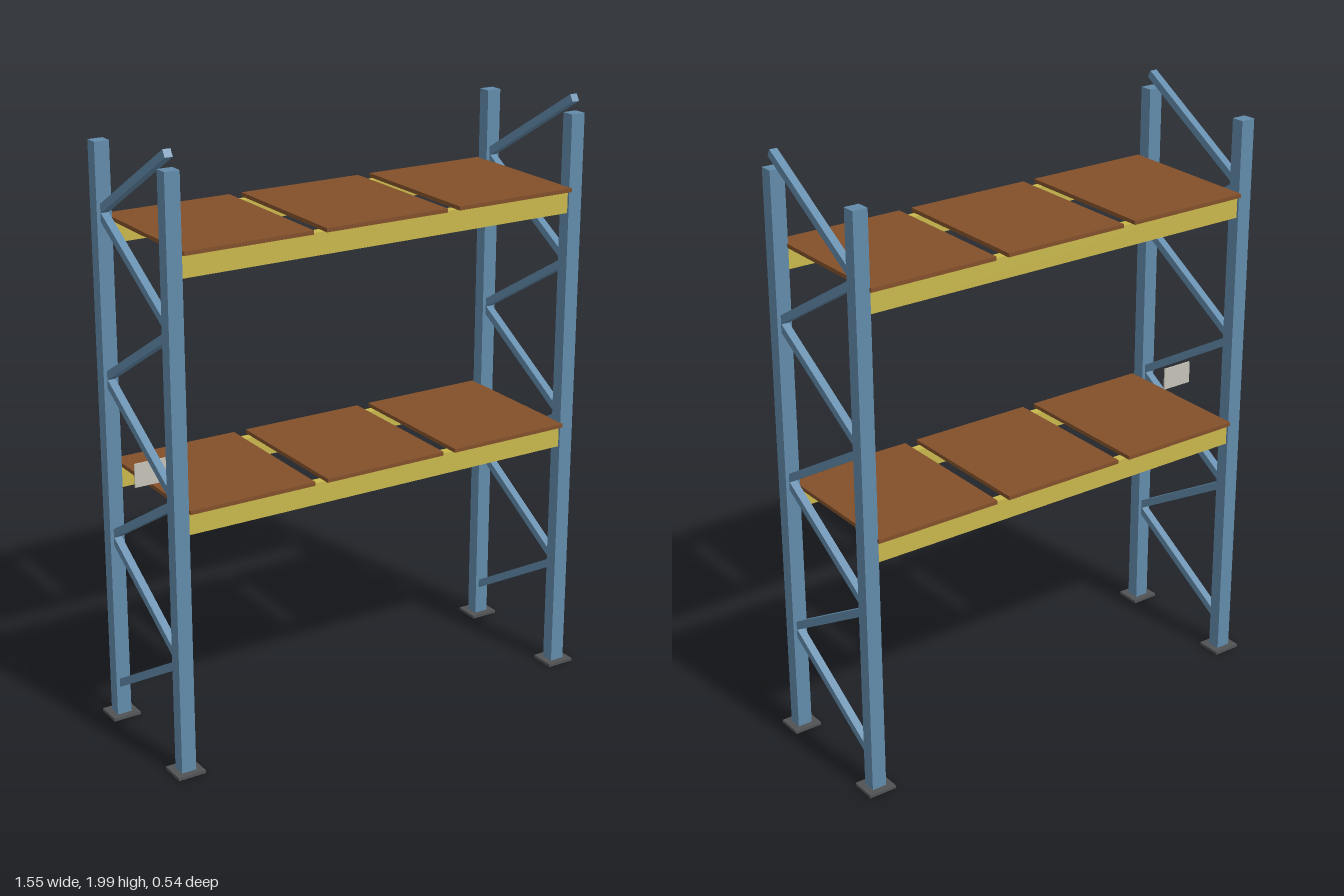
import * as THREE from 'three';

const material = (name, color) => {
  const m = new THREE.MeshStandardMaterial({ color });
  m.name = name;
  return m;
};

export function createModel() {
  const blue = material('steel blue', 0x628bab);
  const yellow = material('beam yellow', 0xc9b84c);
  const brown = material('deck brown', 0x83502b);
  const dark = material('foot grey', 0x505254);
  const pale = material('sign grey', 0xc6c2b8);

  const rack = new THREE.Group();
  rack.name = 'palletRack';

  const box = (parent, name, mat, size, pos) => {
    const mesh = new THREE.Mesh(new THREE.BoxGeometry(...size), mat);
    mesh.name = name;
    mesh.position.set(...pos);
    parent.add(mesh);
    return mesh;
  };

  // End frames: two posts on foot plates, joined by zigzag braces
  const postZ = 0.226;
  const braceBase = 0.111, braceStep = 0.2675;
  for (const [side, x] of [['right', -0.724], ['left', 0.727]]) {
    const frame = new THREE.Group();
    frame.name = side + 'Frame';
    frame.position.x = x;
    rack.add(frame);

    for (const z of [postZ, -postZ]) {
      box(frame, 'post', blue, [0.05, 1.928, 0.045], [0, 0.972, z]);
      box(frame, 'footPlate', dark, [0.096, 0.01, 0.088], [0, 0.005, z]);
    }

    const length = Math.hypot(2 * postZ, braceStep);
    const tilt = Math.atan2(braceStep, 2 * postZ);
    for (let i = 0; i < 7; i++) {
      const brace = box(frame, 'brace', blue, [0.026, 0.026, length],
        [0, braceBase + (i + 0.5) * braceStep, 0]);
      brace.rotation.x = i % 2 ? tilt : -tilt;
    }
  }

  // Shelf levels: front and back beams carrying three deck boards
  for (const [level, top] of [['lower', 0.894], ['upper', 1.699]]) {
    const shelf = new THREE.Group();
    shelf.name = level + 'Shelf';
    shelf.position.y = top;
    rack.add(shelf);

    for (const z of [postZ, -postZ]) {
      box(shelf, 'beam', yellow, [1.402, 0.072, 0.031], [0.002, -0.049, z]);
    }
    for (let i = -1; i <= 1; i++) {
      box(shelf, 'deckBoard', brown, [0.438, 0.013, 0.516], [0.003 + i * 0.483, -0.0065, 0]);
    }
  }

  // Load sign on the right frame
  box(rack, 'loadSign', pale, [0.112, 0.077, 0.005], [-0.722, 0.953, 0.048]);

  return rack;
}
